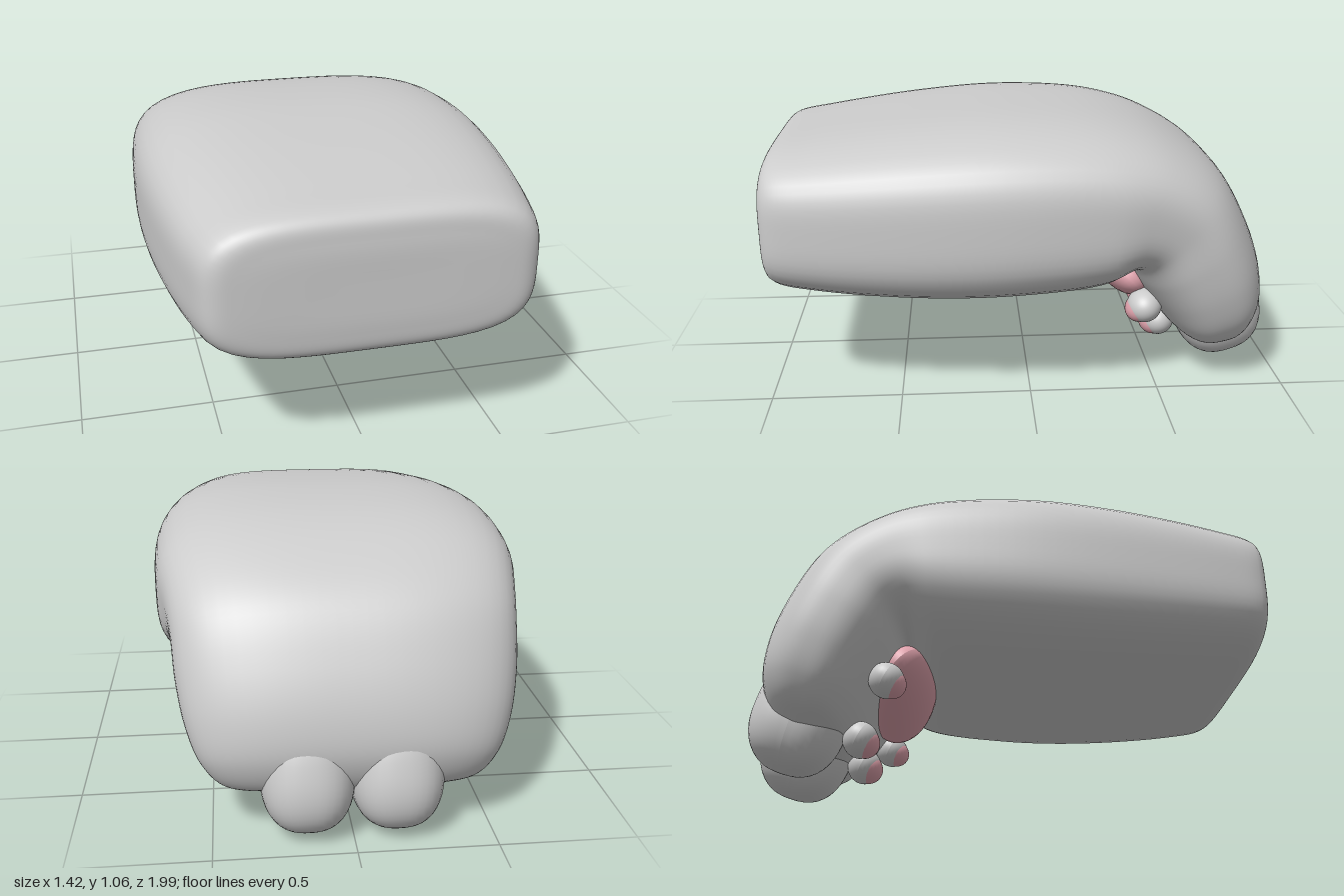
import * as THREE from 'three';

const grey = new THREE.MeshStandardMaterial({ color: 0xcccccc });
const pink = new THREE.MeshStandardMaterial({ color: 0xe0a3ad });

// Cross-sections from wrist end to toes:
// [top z, top y, bottom z, bottom y, half width, squareness]
const SECTIONS = [
  [1.0, 0.69, 1.0, 0.67, 0.02, 3.6],
  [0.998, 0.84, 0.998, 0.52, 0.45, 3.8],
  [0.985, 0.91, 0.985, 0.445, 0.545, 3.8],
  [0.95, 0.94, 0.95, 0.415, 0.585, 3.7],
  [0.8, 0.968, 0.8, 0.388, 0.63, 3.6],
  [0.4, 1.022, 0.4, 0.358, 0.692, 3.5],
  [0.05, 1.045, 0.05, 0.36, 0.712, 3.4],
  [-0.32, 1.02, -0.28, 0.395, 0.69, 3.3],
  [-0.55, 0.95, -0.37, 0.44, 0.655, 3.1],
  [-0.75, 0.82, -0.39, 0.43, 0.63, 2.9],
  [-0.87, 0.63, -0.43, 0.36, 0.615, 2.8],
  [-0.935, 0.45, -0.5, 0.26, 0.585, 2.8],
  [-0.945, 0.31, -0.57, 0.175, 0.54, 2.9],
  [-0.9, 0.19, -0.63, 0.13, 0.47, 3],
  [-0.83, 0.14, -0.69, 0.12, 0.38, 3],
  [-0.77, 0.125, -0.75, 0.122, 0.02, 3],
];

const spow = (v, p) => Math.sign(v) * Math.abs(v) ** p;

// Smooth loft of rounded-rectangle sections along the bent limb
function limbGeometry(rows = 100, cols = 72) {
  const top = new THREE.CatmullRomCurve3(SECTIONS.map(s => new THREE.Vector3(s[0], s[1], s[4])));
  const bottom = new THREE.CatmullRomCurve3(SECTIONS.map(s => new THREE.Vector3(s[2], s[3], s[5] * 0.2)));
  const pos = [], index = [];
  for (let i = 0; i <= rows; i++) {
    const a = top.getPoint(i / rows), b = bottom.getPoint(i / rows);
    const n = b.z * 5;
    for (let j = 0; j < cols; j++) {
      const t = (j / cols) * Math.PI * 2;
      const c = Math.cos(t), s = Math.sin(t);
      const k = (Math.abs(c) ** n + Math.abs(s) ** n) ** (-1 / n);
      const v = (1 + s * k) / 2;
      pos.push(a.z * c * k, b.y + (a.y - b.y) * v, b.x + (a.x - b.x) * v);
    }
  }
  for (let i = 0; i < rows; i++) {
    for (let j = 0; j < cols; j++) {
      const p = i * cols + j, q = i * cols + (j + 1) % cols;
      index.push(p, p + cols, q, q, p + cols, q + cols);
    }
  }
  // End caps
  for (let j = 1; j < cols - 1; j++) {
    const e = rows * cols;
    index.push(0, j, j + 1, e, e + j + 1, e + j);
  }
  const g = new THREE.BufferGeometry();
  g.setAttribute('position', new THREE.Float32BufferAttribute(pos, 3));
  g.setIndex(index);
  g.computeVertexNormals();
  return g;
}

// Sphere pushed towards a box by exponent n (2 = plain ellipsoid)
function blob(name, material, center, radii, tilt = 0, n = 2) {
  const g = new THREE.SphereGeometry(1, 40, 28);
  const p = g.attributes.position;
  for (let i = 0; i < p.count; i++) {
    const x = p.getX(i), y = p.getY(i), z = p.getZ(i);
    const k = (Math.abs(x) ** n + Math.abs(y) ** n + Math.abs(z) ** n) ** (-1 / n);
    p.setXYZ(i, x * k * radii[0], y * k * radii[1], z * k * radii[2]);
  }
  g.computeVertexNormals();
  const mesh = new THREE.Mesh(g, material);
  mesh.name = name;
  mesh.position.set(...center);
  mesh.rotation.x = tilt;
  return mesh;
}

export function createModel() {
  const model = new THREE.Group();
  model.name = 'paw';

  const limb = new THREE.Mesh(limbGeometry(), grey);
  limb.name = 'limb';
  model.add(limb);

  // Large pad in the bend of the palm
  model.add(blob('palmPad', pink, [0, 0.385, -0.41], [0.39, 0.16, 0.12], Math.PI / 4));

  for (const side of [1, -1]) {
    const label = side > 0 ? 'left' : 'right';
    // Middle toe
    model.add(blob(label + 'MiddleToe', grey, [side * 0.16, 0.22, -0.79], [0.172, 0.235, 0.185], 0.3, 2.5));
    // Toe pads: grey rim with a pink cushion facing the palm side
    const pads = [
      ['MiddleToe', 0.155, 0.13, -0.56, 0.09, 0.07],
      ['OuterToe', 0.38, 0.285, -0.46, 0.08, 0.066],
    ];
    for (const [toe, x, y, z, rx, ry] of pads) {
      model.add(blob(label + toe + 'PadRim', grey, [side * x, y, z], [rx, ry, 0.07], 0.5));
      model.add(blob(label + toe + 'Pad', pink, [side * (x - 0.002), y - 0.008, z + 0.012], [rx * 0.88, ry * 0.86, 0.066], 0.5));
    }
  }
  return model;
}
